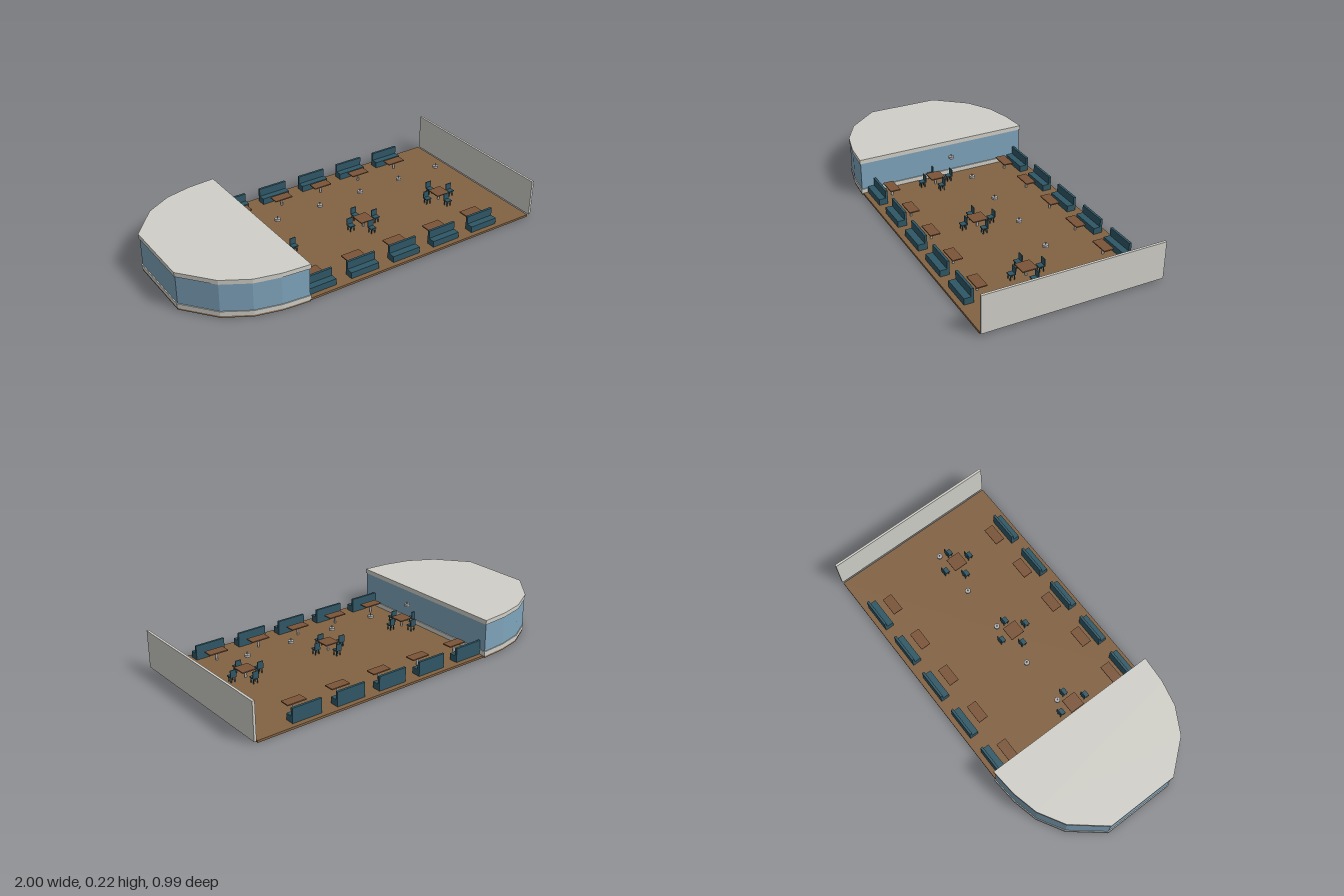
import * as THREE from 'three';

const mat = (color) => new THREE.MeshStandardMaterial({ color, flatShading: true });

export function createModel() {
  const model = new THREE.Group();
  const wood = mat(0x826242), tableWood = mat(0x7a5438), fabric = mat(0x2f5765);
  const plaster = mat(0xd0cfc8), glass = mat(0x7fa4bc), metal = mat(0xb4b4b4), baseWood = mat(0x8c7456);
  const FLOOR = 0.012;

  const add = (parent, name, geometry, material) => {
    const mesh = new THREE.Mesh(geometry, material);
    mesh.name = name;
    parent.add(mesh);
    return mesh;
  };
  // Box given by its min and max corners
  const box = (parent, name, material, [x0, y0, z0], [x1, y1, z1]) => {
    const g = new THREE.BoxGeometry(x1 - x0, y1 - y0, z1 - z0);
    g.translate((x0 + x1) / 2, (y0 + y1) / 2, (z0 + z1) / 2);
    return add(parent, name, g, material);
  };
  const cylinder = (parent, name, material, r, y0, y1, sides = 12) => {
    const g = new THREE.CylinderGeometry(r, r, y1 - y0, sides);
    g.translate(0, (y0 + y1) / 2, 0);
    return add(parent, name, g, material);
  };
  const group = (name, x, z) => {
    const g = new THREE.Group();
    g.name = name;
    g.position.set(x, 0, z);
    model.add(g);
    return g;
  };

  // Main floor and end wall
  box(model, 'floor', wood, [-0.43, 0, -0.485], [0.98, FLOOR, 0.485]);
  box(model, 'endWall', plaster, [0.987, FLOOR, -0.487], [1, 0.216, 0.487]);

  // Rounded end room: faceted outline, mirrored in z
  const half = [[-0.43, 0.495], [-0.58, 0.483], [-0.72, 0.45], [-0.86, 0.37], [-1, 0.2]];
  const outline = [...half, ...half.map(([x, z]) => [x, -z]).reverse()];
  const points = (inset) => outline.map(([x, z]) => new THREE.Vector2(
    -0.715 + (x + 0.715) * (1 - inset / 0.285), z * (1 - inset / 0.495)));
  const slab = (parent, name, material, y0, y1, inset, thickness) => {
    const shape = new THREE.Shape(points(inset));
    if (thickness) shape.holes.push(new THREE.Path(points(inset + thickness)));
    const g = new THREE.ExtrudeGeometry(shape, { depth: y1 - y0, bevelEnabled: false });
    g.rotateX(-Math.PI / 2);
    g.translate(0, y0, 0);
    return add(parent, name, g, material);
  };
  const room = group('endRoom', 0, 0);
  slab(room, 'roomFloor', baseWood, 0, FLOOR, 0.004, 0);
  slab(room, 'lowerBand', plaster, FLOOR, 0.037, 0, 0.014);
  slab(room, 'windowBand', glass, 0.037, 0.192, 0.005, 0.006);
  slab(room, 'upperBand', plaster, 0.192, 0.2, 0, 0.014);
  slab(room, 'roof', plaster, 0.2, 0.216, 0, 0);

  // Pedestal table
  const table = (name, x, z, w, d) => {
    const g = group(name, x, z);
    box(g, 'tableTop', tableWood, [-w / 2, 0.058, -d / 2], [w / 2, 0.064, d / 2]);
    cylinder(g, 'tableStem', metal, 0.006, FLOOR, 0.058);
  };

  // Bench with seat and backrest
  const bench = (x, z) => {
    const g = group('bench', x, z);
    box(g, 'benchSeat', fabric, [-0.084, FLOOR, -0.025], [0.084, 0.047, 0.025]);
    box(g, 'benchBack', fabric, [-0.084, 0.047, -0.025], [0.084, 0.091, -0.012]);
  };

  // Chair with four legs
  const chair = (x, z) => {
    const g = group('chair', x, z);
    box(g, 'chairSeat', fabric, [-0.017, 0.04, -0.017], [0.017, 0.046, 0.017]);
    box(g, 'chairBack', fabric, [-0.017, 0.046, -0.017], [0.017, 0.081, -0.012]);
    for (const sx of [-1, 1]) for (const sz of [-1, 1]) {
      const cx = sx * 0.011, cz = sz * 0.011, r = 0.002;
      box(g, 'chairLeg', fabric, [cx - r, FLOOR, cz - r], [cx + r, 0.04, cz + r]);
    }
  };

  // Booths along both long sides
  for (let i = 0; i < 5; i++) {
    const x = -0.347 + i * 0.2585;
    for (const side of [-1, 1]) {
      bench(x, side * 0.433);
      table('boothTable', x, side * 0.349, 0.108, 0.056);
    }
    // Hanging lamp on the centre line
    const lamp = group('lamp', -0.32 + i * 0.2585, 0);
    cylinder(lamp, 'lampShade', metal, 0.015, 0.167, 0.18, 16);
    cylinder(lamp, 'lampRod', metal, 0.003, 0.18, 0.192, 8);
  }

  // Square tables with four chairs each
  for (let i = 0; i < 3; i++) {
    const x = -0.355 + i * 0.5175, z = 0.083;
    table('squareTable', x, z, 0.082, 0.082);
    for (const [dx, dz] of [[1, 0], [-1, 0], [0, 1], [0, -1]]) chair(x + dx * 0.08, z + dz * 0.08);
  }
  return model;
}
